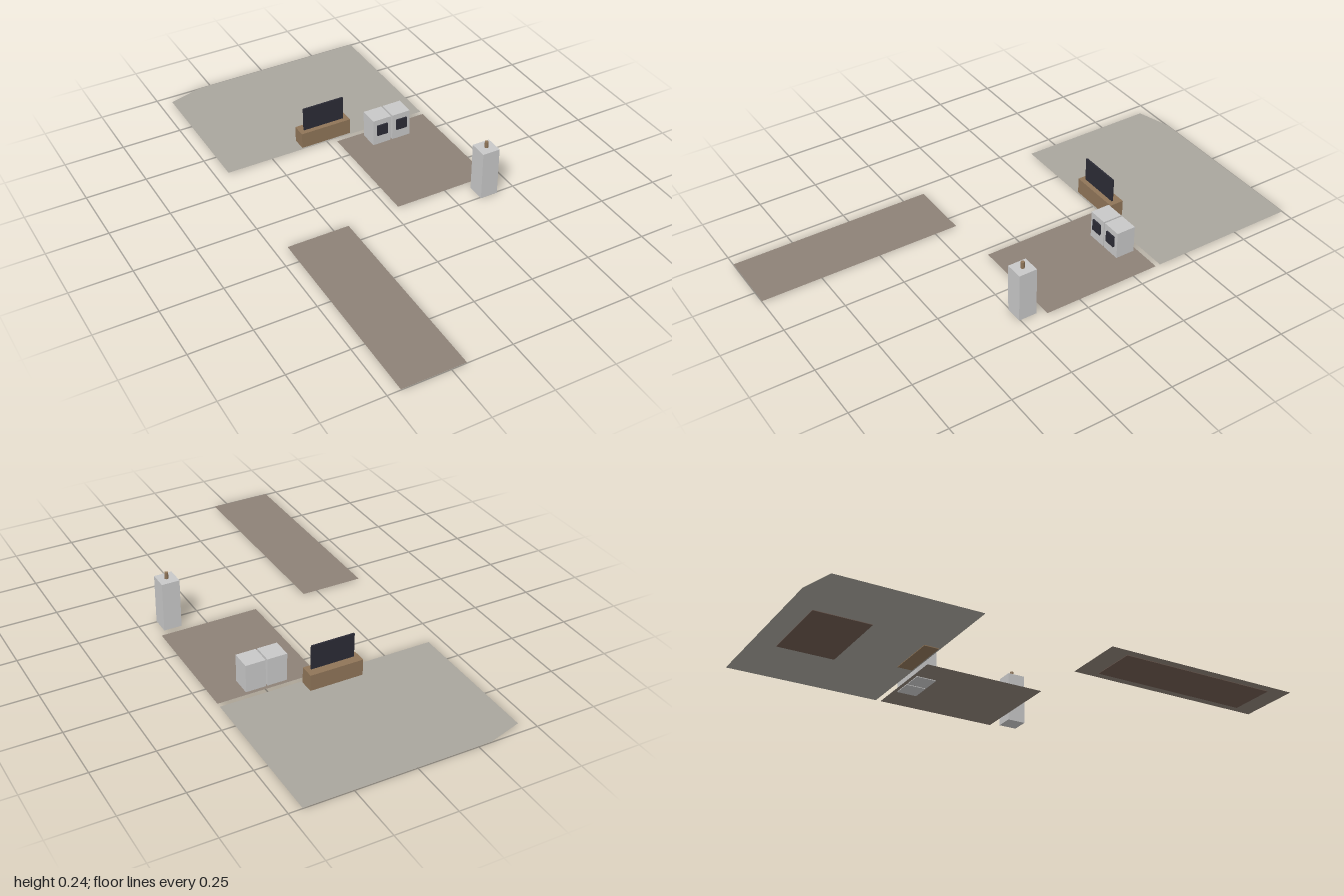
import * as THREE from 'three';

export function createModel() {
  const group = new THREE.Group();
  group.name = 'roomLayout';

  const material = (name, color, side = THREE.FrontSide) => {
    const m = new THREE.MeshStandardMaterial({ color, side });
    m.name = name;
    return m;
  };
  const paleFloor = material('paleFloor', 0xa9a59d, THREE.DoubleSide);
  const brownFloor = material('brownFloor', 0x8d8177, THREE.DoubleSide);
  const rugBrown = material('rugBrown', 0x6e5a50);
  const wood = material('wood', 0x8f7558);
  const lightGrey = material('lightGrey', 0xc8c8c8);
  const darkGlass = material('darkGlass', 0x2b2b35);

  const add = (name, geometry, mat, x = 0, y = 0, z = 0) => {
    const mesh = new THREE.Mesh(geometry, mat);
    mesh.name = name;
    mesh.position.set(x, y, z);
    group.add(mesh);
    return mesh;
  };
  // Box given by its extents on each axis
  const box = (name, mat, [x0, x1], [y0, y1], [z0, z1]) =>
    add(name, new THREE.BoxGeometry(x1 - x0, y1 - y0, z1 - z0), mat,
      (x0 + x1) / 2, (y0 + y1) / 2, (z0 + z1) / 2);
  // Flat floor sheet from an outline of [x, z] corners
  const floor = (name, mat, corners) => {
    const shape = new THREE.Shape(corners.map(([x, z]) => new THREE.Vector2(x, -z)));
    add(name, new THREE.ShapeGeometry(shape).rotateX(-Math.PI / 2), mat, 0, 0.003, 0);
  };
  const rect = (x0, x1, z0, z1) => [[x0, z1], [x1, z1], [x1, z0], [x0, z0]];

  // Floors, one with a clipped corner
  floor('livingFloor', paleFloor,
    [[-0.447, -0.375], [0.447, -0.375], [0.447, -1], [-0.304, -1], [-0.447, -0.957]]);
  floor('kitchenFloor', brownFloor, rect(0.036, 0.447, -0.355, 0.147));
  floor('hallFloor', brownFloor, rect(-0.447, -0.188, 0.157, 1));

  // Rugs lying just under the floor sheets
  box('livingRug', rugBrown, [-0.17, 0.17], [0, 0.002], [-0.907, -0.677]);
  box('hallRug', rugBrown, [-0.415, -0.223], [0, 0.002], [0.245, 0.912]);

  // Low cabinet with a screen above
  box('cabinet', wood, [-0.111, 0.111], [0, 0.071], [-0.443, -0.383]);
  box('screen', darkGlass, [-0.091, 0.09], [0.072, 0.174], [-0.41, -0.403]);

  // Pair of appliances with dark door windows
  for (const x of [0.194, 0.283]) {
    box('appliance', lightGrey, [x - 0.041, x + 0.041], [0, 0.12], [-0.34, -0.258]);
    box('applianceWindow', darkGlass, [x - 0.024, x + 0.024], [0.047, 0.095], [-0.258, -0.251]);
  }

  // Tall column with a small peg on top
  box('column', lightGrey, [0.348, 0.422], [0, 0.209], [0.179, 0.255]);
  add('columnPeg', new THREE.CylinderGeometry(0.0075, 0.0075, 0.027, 12), wood, 0.386, 0.2225, 0.217);

  return group;
}
